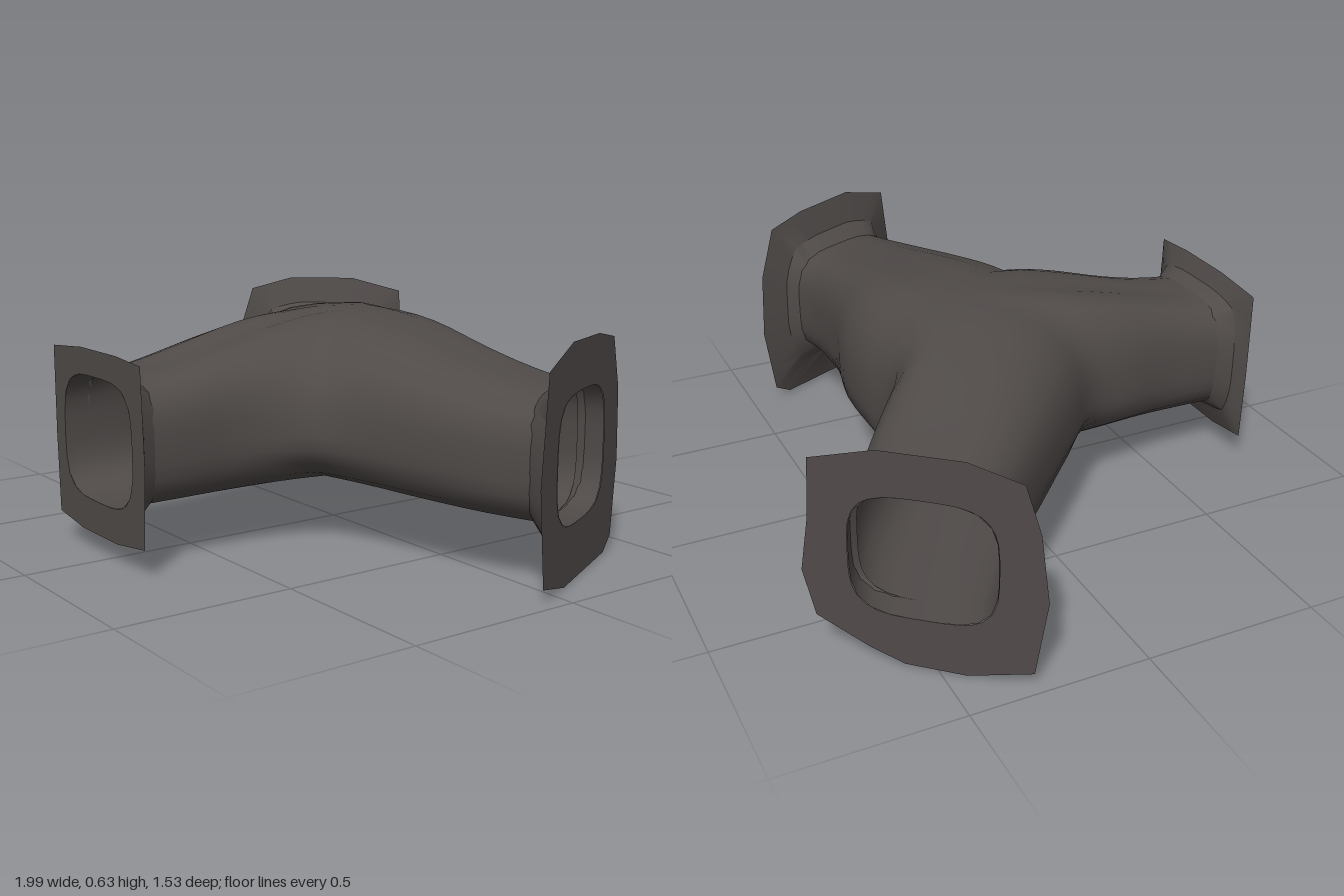
import * as THREE from 'three';
import { mergeGeometries, mergeVertices, toCreasedNormals } from 'three/addons/utils/BufferGeometryUtils.js';
import { ParametricGeometry } from 'three/addons/geometries/ParametricGeometry.js';

const MID_Y = 0.325;            // height of the tunnel axis
const HALF = 0.172;             // half height of each mouth
const HUB = [-0.03, -0.08];     // x, z where the three arms meet

// Radius of a unit superellipse at an angle: squarish at high n, round at n = 2
const squircle = (a, n) =>
  Math.pow(Math.pow(Math.abs(Math.cos(a)), n) + Math.pow(Math.abs(Math.sin(a)), n), -1 / n);

// Mouths: centre (x, z), outward direction, half width, flange outline (across, y)
const mouths = {
  front: {
    c: [-0.025, 0.765], out: [0, 1], w: 0.195,
    rim: [[0.262, 0.3], [0.25, 0.56], [0.12, 0.57], [-0.08, 0.57], [-0.25, 0.555],
      [-0.25, 0.3], [-0.242, 0.08], [-0.1, 0.06], [0.1, 0.06], [0.25, 0.08]],
  },
  right: {
    c: [0.855, -0.165], out: [0.898, -0.44], w: 0.19,
    rim: [[0.317, 0.25], [0.306, 0.45], [0.25, 0.6], [0.117, 0.625], [-0.095, 0.63],
      [-0.27, 0.58], [-0.31, 0.3], [-0.27, 0.04], [-0.11, 0], [0.22, 0.005], [0.28, 0.04]],
  },
  left: {
    c: [-0.8, -0.53], out: [-0.768, -0.64], w: 0.19,
    rim: [[0.312, 0.26], [0.29, 0.45], [0.25, 0.58], [0.11, 0.62], [-0.11, 0.62],
      [-0.28, 0.575], [-0.29, 0.4], [-0.312, 0.25], [-0.28, 0.12], [-0.14, 0.045],
      [-0.05, 0.01], [0.11, 0.005], [0.28, 0.045]],
  },
};

// Side walls in plan (x, z), each running from one mouth to the next
const walls = [
  ['front', 'right', [[0.17, 0.765], [0.18, 0.6], [0.19, 0.47], [0.22, 0.37], [0.28, 0.28],
    [0.38, 0.22], [0.55, 0.17], [0.75, 0.105], [0.94, 0.005]]],
  ['right', 'left', [[0.77, -0.335], [0.62, -0.305], [0.4, -0.315], [0.2, -0.36], [-0.02, -0.37],
    [-0.2, -0.37], [-0.36, -0.48], [-0.5, -0.58], [-0.68, -0.675]]],
  ['left', 'front', [[-0.92, -0.385], [-0.78, -0.28], [-0.6, -0.1], [-0.4, 0.1], [-0.28, 0.23],
    [-0.25, 0.38], [-0.225, 0.52], [-0.22, 0.65], [-0.22, 0.765]]],
];

// One sheet from floor to crown between the arm centrelines and a side wall
function wallSheet([from, to, plan]) {
  const side = new THREE.CatmullRomCurve3(plan.map(([x, z]) => new THREE.Vector3(x, 0, z)));
  const p = new THREE.Vector3();
  const geo = new ParametricGeometry((u, v, target) => {
    const t = 1 - Math.abs(2 * u - 1);                  // 0 at a mouth, 1 at the hub
    const c = mouths[u < 0.5 ? from : to].c;
    const x = THREE.MathUtils.lerp(c[0], HUB[0], t);
    const z = THREE.MathUtils.lerp(c[1], HUB[1], t);
    side.getPoint(u, p);
    const a = (v - 0.5) * Math.PI;
    const r = squircle(a, 3.6 - 1.1 * t);
    const w = v === 0 || v === 1 ? 0 : r * Math.cos(a);
    const h = r * Math.sin(a);
    const rise = h > 0 ? 0.133 * THREE.MathUtils.smoothstep(t, 0, 1) : 0;
    target.set(x + (p.x - x) * w, MID_Y + h * (HALF + rise), z + (p.z - z) * w);
  }, 24, 14);
  geo.deleteAttribute('uv');
  geo.deleteAttribute('normal');
  return geo;
}

// Flange: a flat face around the mouth and a flared back running onto the tube
function flangeGeometry({ c, out, w, rim }) {
  const outline = [];
  rim.forEach((a, i) => {
    const b = rim[(i + 1) % rim.length];
    for (const k of [0, 1 / 3, 2 / 3]) {
      outline.push([a[0] + (b[0] - a[0]) * k, a[1] + (b[1] - a[1]) * k - MID_Y]);
    }
  });
  const n = outline.length;
  const rings = [[0, 0], [1, 0], [0.3, -0.025], [0, -0.075]];  // spread, depth
  const pos = [], index = [];
  rings.forEach(([k, depth], j) => outline.forEach(([s, y], i) => {
    const a = Math.atan2(y / HALF, s / w);
    const r = squircle(a, 3.6);
    const across = THREE.MathUtils.lerp(r * Math.cos(a) * w, s, k);
    const up = THREE.MathUtils.lerp(r * Math.sin(a) * HALF, y, k);
    pos.push(c[0] + out[1] * across + out[0] * depth, MID_Y + up,
      c[1] - out[0] * across + out[1] * depth);
    if (j < rings.length - 1) {
      const p = j * n + i, q = j * n + (i + 1) % n;
      index.push(p, p + n, q, q, p + n, q + n);
    }
  }));
  const geo = new THREE.BufferGeometry();
  geo.setAttribute('position', new THREE.Float32BufferAttribute(pos, 3));
  geo.setIndex(index);
  return toCreasedNormals(geo, 0.6);
}

export function createModel() {
  const group = new THREE.Group();
  group.name = 'tunnelJunction';
  const rock = new THREE.MeshStandardMaterial({ color: 0x504b49, side: THREE.DoubleSide });
  rock.name = 'darkRock';

  // Hollow three-way passage
  const shell = mergeVertices(mergeGeometries(walls.map(wallSheet)), 1e-4);
  shell.computeVertexNormals();
  const passage = new THREE.Mesh(shell, rock);
  passage.name = 'passage';
  group.add(passage);

  // Flange around each mouth
  for (const [name, mouth] of Object.entries(mouths)) {
    const flange = new THREE.Mesh(flangeGeometry(mouth), rock);
    flange.name = name + 'Flange';
    group.add(flange);
  }
  return group;
}
